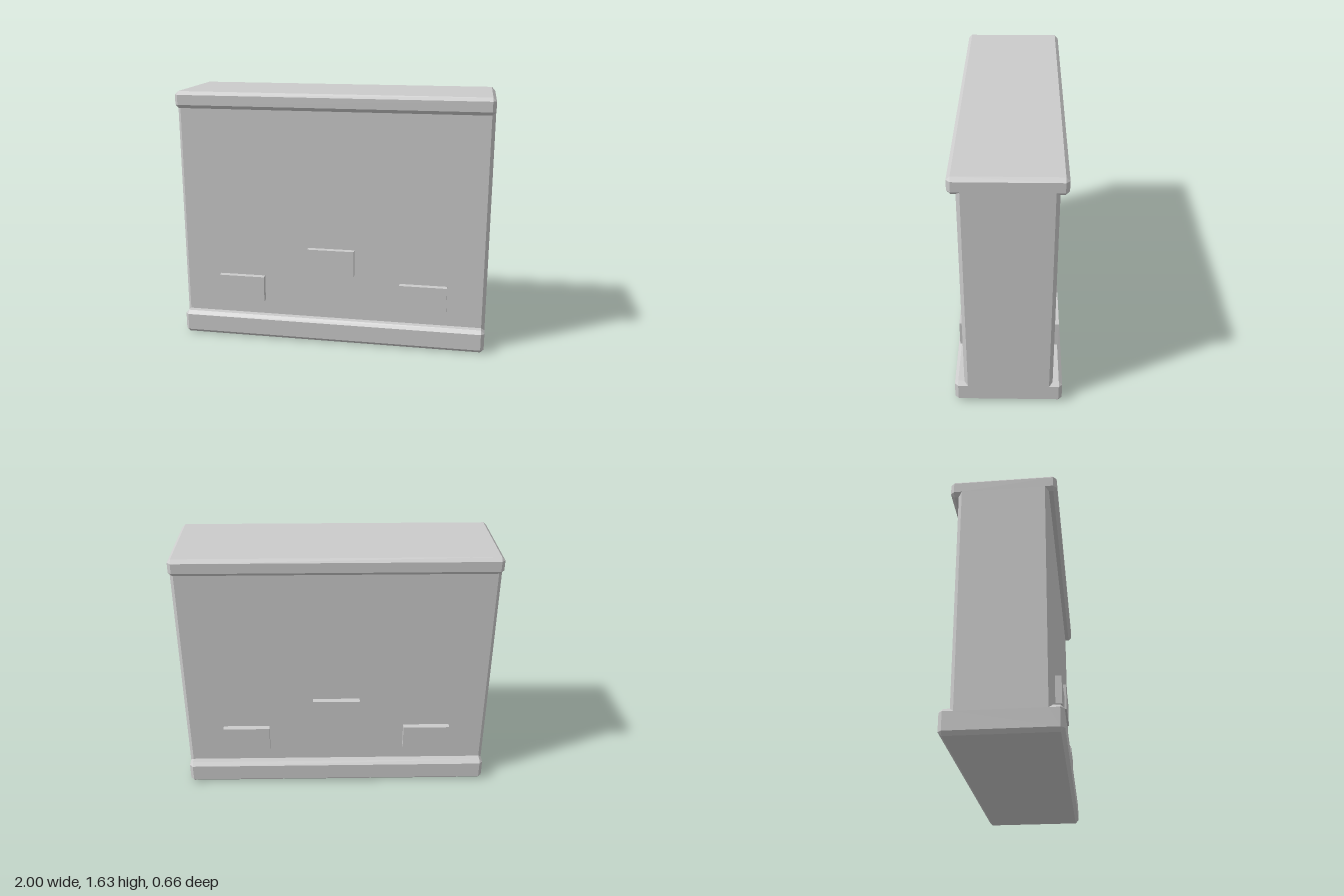
import * as THREE from 'three';

const BEVEL = 0.022;
const material = new THREE.MeshStandardMaterial({ color: 0xcccccc, flatShading: true });

// Beveled prism along x: the end faces use the (z, y) core profile,
// the body uses the profile grown outward by the bevel.
function beveledPrism(core, halfLength, b) {
  const n = core.length;
  const normal = (p, q) => new THREE.Vector2(q.y - p.y, p.x - q.x).normalize();
  const inner = [], outer = [];
  core.forEach((c, i) => {
    const n1 = normal(core[(i + n - 1) % n], c);
    const n2 = normal(c, core[(i + 1) % n]);
    if (n1.cross(n2) > 0) { // convex corner: chamfer it
      inner.push(c, c);
      outer.push(c.clone().addScaledVector(n1, b), c.clone().addScaledVector(n2, b));
    } else { // concave corner: keep it sharp
      inner.push(c);
      outer.push(c.clone().addScaledVector(n1, b).addScaledVector(n2, b));
    }
  });

  const positions = [];
  const put = (p, x) => positions.push(x, p.y, p.x);
  const rings = [
    [inner, -halfLength], [outer, -halfLength + b],
    [outer, halfLength - b], [inner, halfLength],
  ];
  for (let r = 0; r < 3; r++) {
    const [A, xa] = rings[r], [B, xb] = rings[r + 1];
    for (let i = 0; i < A.length; i++) {
      const j = (i + 1) % A.length;
      if (!B[i].equals(B[j])) { put(A[i], xa); put(B[i], xb); put(B[j], xb); }
      if (!A[i].equals(A[j])) { put(A[i], xa); put(B[j], xb); put(A[j], xa); }
    }
  }
  // Flat end faces
  for (const [i, j, k] of THREE.ShapeUtils.triangulateShape(core.slice(), [])) {
    for (const v of [i, j, k]) put(core[v], -halfLength);
    for (const v of [k, j, i]) put(core[v], halfLength);
  }
  const geometry = new THREE.BufferGeometry();
  geometry.setAttribute('position', new THREE.Float32BufferAttribute(positions, 3));
  geometry.computeVertexNormals();
  return geometry;
}

export function createModel() {
  const model = new THREE.Group();
  model.name = 'wallSegment';

  // Wall with wider base and cap, as one symmetric section
  const half = [
    [0.31, 0.022], [0.31, 0.13], [0.25, 0.13],
    [0.25, 1.547], [0.298, 1.547], [0.298, 1.61],
  ].map(([z, y]) => new THREE.Vector2(z, y));
  const mirrored = half.map((p) => new THREE.Vector2(-p.x, p.y)).reverse();
  const wall = new THREE.Mesh(beveledPrism([...half, ...mirrored], 1, BEVEL), material);
  wall.name = 'wall';
  model.add(wall);

  // Raised bricks on both faces
  const brickGeometry = new THREE.BoxGeometry(0.305, 0.17, 0.06);
  for (const side of [1, -1]) {
    for (const [x, y] of [[-0.6, 0.335], [0, 0.545], [0.6, 0.335]]) {
      const brick = new THREE.Mesh(brickGeometry, material);
      brick.name = side > 0 ? 'frontBrick' : 'backBrick';
      brick.position.set(x, y, side * 0.28);
      model.add(brick);
    }
  }
  return model;
}
